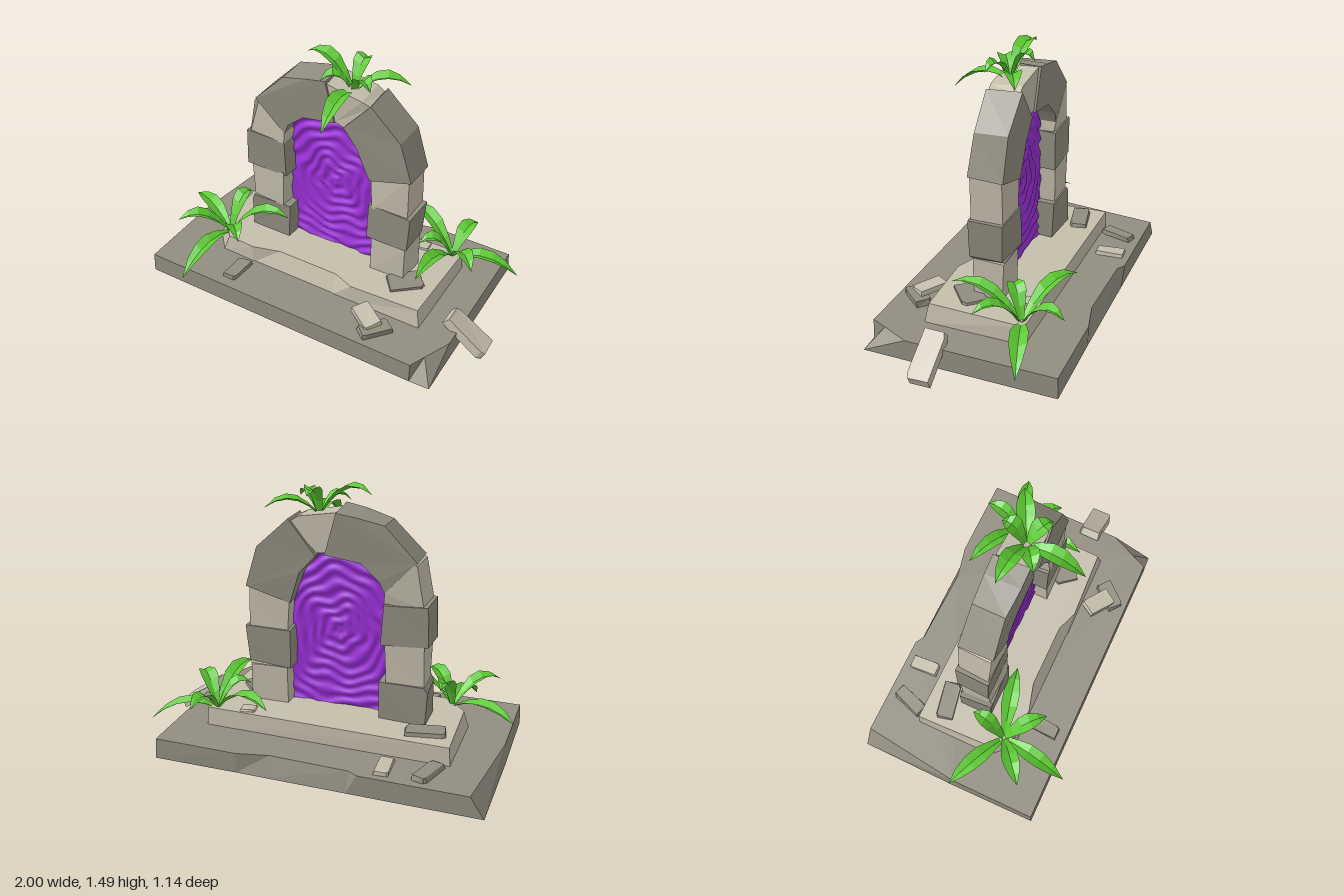
import * as THREE from 'three';

const mat = (color, extra = {}) => new THREE.MeshStandardMaterial({ color, flatShading: true, ...extra });
const light = mat(0xc4beab), dark = mat(0x918d80);
const leafMat = mat(0x5cc832, { side: THREE.DoubleSide });
const portalMat = mat(0x9b30d9, { flatShading: false, side: THREE.DoubleSide });

let seed = 7;
const rand = () => (seed = (seed * 16807) % 2147483647) / 2147483647 - 0.5;

// Solid between two matching outlines, "back" at depth d0 and "front" at depth d1 along z
function loft(back, front, d0, d1, jitter = 0) {
  let b = back.map(([x, y]) => new THREE.Vector2(x, y));
  let f = front.map(([x, y]) => new THREE.Vector2(x, y));
  if (THREE.ShapeUtils.isClockWise(f)) { f.reverse(); b.reverse(); }
  const lift = (d) => (p) => new THREE.Vector3(
    p.x + rand() * jitter, p.y + rand() * jitter, d + rand() * jitter);
  const B = b.map(lift(d0)), F = f.map(lift(d1)), tris = [];
  for (const [i, j, k] of THREE.ShapeUtils.triangulateShape(f, [])) tris.push(F[i], F[j], F[k]);
  for (const [i, j, k] of THREE.ShapeUtils.triangulateShape(b, [])) tris.push(B[i], B[k], B[j]);
  B.forEach((_, i) => {
    const n = (i + 1) % B.length;
    tris.push(B[i], B[n], F[n], B[i], F[n], F[i]);
  });
  const g = new THREE.BufferGeometry().setFromPoints(tris);
  g.computeVertexNormals();
  return g;
}

// Horizontal slab from [x, z] outlines
function slab(bottom, top, y0, y1, jitter) {
  const flip = (pts) => pts.map(([x, z]) => [x, -z]);
  return loft(flip(bottom), flip(top), y0, y1, jitter).rotateX(-Math.PI / 2);
}

// Loose flat stone with worn corners
function stone(w, h, d) {
  const o = [[-w, -d * 0.8], [-w * 0.8, -d], [w, -d], [w, d * 0.75], [w * 0.8, d], [-w, d]]
    .map(([x, z]) => [x / 2, z / 2]);
  return slab(o, o.map(([x, z]) => [x * 0.92, z * 0.92]), -h / 2, h / 2, 0.008);
}

// Folded, pointed leaf arching from a root to a tip
function leaf(root, tip) {
  const mid = root.clone().lerp(tip, 0.5);
  mid.y = Math.max(root.y, tip.y) + 0.1;
  const curve = new THREE.QuadraticBezierCurve3(root, mid, tip);
  const side = new THREE.Vector3(tip.z - root.z, 0, root.x - tip.x).normalize();
  const widths = [0.012, 0.03, 0.046, 0.046, 0.03, 0];
  const pos = [], idx = [];
  widths.forEach((w, i) => {
    const p = curve.getPoint(i / (widths.length - 1));
    for (const s of [-1, 0, 1]) {
      const q = p.clone().addScaledVector(side, s * w);
      pos.push(q.x, q.y + Math.abs(s) * w * 0.45, q.z);
    }
    if (!i) return;
    for (const k of [0, 1]) {
      const a = (i - 1) * 3 + k;
      idx.push(a, a + 1, a + 4, a, a + 4, a + 3);
    }
  });
  const g = new THREE.BufferGeometry();
  g.setAttribute('position', new THREE.Float32BufferAttribute(pos, 3));
  g.setIndex(idx);
  g.computeVertexNormals();
  return g;
}

// Piecewise linear lookup in [[y, x], ...]
function lookup(table, y) {
  for (let i = 1; i < table.length; i++) {
    const [y0, x0] = table[i - 1], [y1, x1] = table[i];
    if (y <= y1) return x0 + (x1 - x0) * (y - y0) / (y1 - y0);
  }
  return table[table.length - 1][1];
}

export function createModel() {
  const model = new THREE.Group();
  const add = (name, geometry, material, parent = model) => {
    const m = new THREE.Mesh(geometry, material);
    m.name = name;
    parent.add(m);
    return m;
  };

  // Base slab with a chipped back edge, left edge and front corner
  add('baseSlab', slab(
    [[-0.965, -0.57], [-0.3, -0.57], [-0.25, -0.57], [0.2, -0.57], [0.36, -0.57], [0.835, -0.575],
      [0.835, 0.25], [0.835, 0.49], [0.72, 0.495], [-0.965, 0.495], [-0.97, 0]],
    [[-0.89, -0.57], [-0.31, -0.57], [-0.26, -0.54], [0.18, -0.53], [0.36, -0.57], [0.83, -0.57],
      [0.83, 0.25], [0.76, 0.4], [0.72, 0.49], [-0.96, 0.49], [-0.96, 0]],
    0.015, 0.13), dark);

  // Upper step with a broken front edge
  add('step', slab(
    [[-0.735, -0.325], [0.64, -0.325], [0.64, 0.235], [0.2, 0.238], [0.1, 0.238], [-0.33, 0.238],
      [-0.43, 0.238], [-0.64, 0.235], [-0.735, 0.13]],
    [[-0.725, -0.325], [0.635, -0.32], [0.62, 0.215], [0.22, 0.235], [0.1, 0.19], [-0.27, 0.19],
      [-0.43, 0.235], [-0.6, 0.225], [-0.71, 0.1]],
    0.12, 0.235), light);

  // Arch stones as front outlines [x, y]
  const arch = new THREE.Group();
  arch.name = 'arch';
  model.add(arch);
  const blocks = [
    ['leftFootBlock', dark, [[-0.55, 0.23], [-0.295, 0.23], [-0.29, 0.45], [-0.53, 0.455], [-0.55, 0.42]]],
    ['leftLowerBlock', light, [[-0.53, 0.45], [-0.325, 0.45], [-0.32, 0.68], [-0.53, 0.68]]],
    ['leftMiddleBlock', dark, [[-0.55, 0.68], [-0.3, 0.665], [-0.305, 0.89], [-0.54, 0.9], [-0.55, 0.86]]],
    ['leftUpperBlock', light, [[-0.525, 0.89], [-0.305, 0.89], [-0.305, 0.96], [-0.46, 1.13], [-0.48, 1.11]]],
    ['leftArchStone', dark, [[-0.475, 1.125], [-0.305, 0.955], [-0.275, 1.02], [-0.18, 1.1], [0.01, 1.13],
      [-0.045, 1.36], [-0.15, 1.345], [-0.31, 1.305]]],
    ['keystone', light, [[0.01, 1.13], [0.06, 1.12], [0.22, 1.285], [0.17, 1.31], [-0.045, 1.35]]],
    ['rightArchStone', dark, [[0.06, 1.12], [0.15, 1.02], [0.215, 0.84], [0.46, 0.91], [0.39, 1.13], [0.22, 1.3]]],
    ['rightUpperBlock', light, [[0.235, 0.67], [0.45, 0.67], [0.445, 0.92], [0.22, 0.86]]],
    ['rightMiddleBlock', dark, [[0.21, 0.46], [0.44, 0.45], [0.465, 0.47], [0.47, 0.67], [0.22, 0.68]]],
    ['rightFootBlock', light, [[0.235, 0.23], [0.445, 0.23], [0.445, 0.45], [0.235, 0.455]]],
  ];
  for (const [name, material, pts] of blocks) {
    const grow = material === dark ? 0.006 : 0;
    add(name, loft(pts, pts, -0.128 - grow, 0.046 + grow, 0.014), material, arch);
  }

  // Rippled portal sheet, its edges tucked into the arch
  const leftEdge = [[0.23, -0.32], [0.94, -0.325], [1.02, -0.29], [1.1, -0.2], [1.15, -0.1]];
  const rightEdge = [[0.23, 0.25], [0.82, 0.25], [1.02, 0.17], [1.12, 0.075], [1.15, 0.04]];
  const sheet = new THREE.PlaneGeometry(1, 0.92, 56, 90);
  const p = sheet.attributes.position;
  for (let i = 0; i < p.count; i++) {
    const y = p.getY(i) + 0.69, t = p.getX(i) + 0.5;
    const x = THREE.MathUtils.lerp(lookup(leftEdge, y), lookup(rightEdge, y), t);
    const dx = x + 0.04, dy = y - 0.68, r = Math.hypot(dx, dy), a = Math.atan2(dy, dx);
    const warp = 1.3 * Math.sin(5 * a + 9 * r) + 0.9 * Math.sin(23 * x + 17 * y) + 0.7 * Math.sin(31 * x - 14 * y);
    p.setXYZ(i, x, y, -0.04 + 0.007 * Math.sin(95 * r + warp * Math.min(1, r * 8)));
  }
  sheet.computeVertexNormals();
  add('portal', sheet, portalMat);

  // Rubble: size, position, rotation
  const rubble = [
    [dark, [0.08, 0.03, 0.2], [-0.645, 0.14, -0.43], [0, -0.3, 0]],
    [light, [0.08, 0.025, 0.17], [-0.42, 0.14, -0.45], [0, 0.06, 0]],
    [dark, [0.22, 0.025, 0.1], [-0.57, 0.245, -0.21], [0, 0.2, 0]],
    [light, [0.08, 0.02, 0.07], [0.41, 0.24, -0.27], [0, 0.1, 0]],
    [dark, [0.2, 0.02, 0.14], [0.46, 0.24, 0.05], [0, 0.7, 0]],
    [dark, [0.08, 0.03, 0.17], [-0.46, 0.14, 0.35], [0, -0.06, 0]],
    [dark, [0.09, 0.035, 0.18], [0.45, 0.147, 0.37], [0, -0.7, 0]],
    [light, [0.18, 0.03, 0.11], [0.375, 0.172, 0.33], [0.12, -0.6, 0]],
  ];
  for (const [material, size, pos, rot] of rubble) {
    const m = add('rubble', stone(...size), material);
    m.position.set(...pos);
    m.rotation.set(...rot);
  }

  // Fallen plank stone leaning on the base edge
  const plank = add('fallenStone', stone(0.285, 0.05, 0.13), light);
  plank.position.set(0.873, 0.102, 0.1);
  plank.rotation.z = -0.61;

  // Ferns: root followed by leaf tips
  const ferns = [
    ['leftFern', [-0.63, 0.22, 0.17], [[-1, 0.25, 0], [-0.86, 0.34, 0.36], [-0.69, 0.13, 0.57],
      [-0.44, 0.35, 0.35], [-0.27, 0.41, 0.09], [-0.6, 0.4, -0.03]]],
    ['rightFern', [0.59, 0.22, -0.29], [[0.95, 0.15, -0.4], [0.22, 0.35, -0.46], [0.63, 0.32, -0.53],
      [0.55, 0.35, 0.12], [0.78, 0.34, -0.1], [0.43, 0.34, -0.17]]],
    ['topFern', [0.08, 1.3, -0.02], [[-0.21, 1.44, -0.05], [0.34, 1.35, -0.15], [0.08, 1.23, 0.3],
      [0.1, 1.43, -0.16], [0.22, 1.38, 0.06], [-0.06, 1.37, 0.08]]],
  ];
  for (const [name, root, tips] of ferns) {
    const fern = new THREE.Group();
    fern.name = name;
    model.add(fern);
    for (const tip of tips) add('leaf', leaf(new THREE.Vector3(...root), new THREE.Vector3(...tip)), leafMat, fern);
  }
  return model;
}
